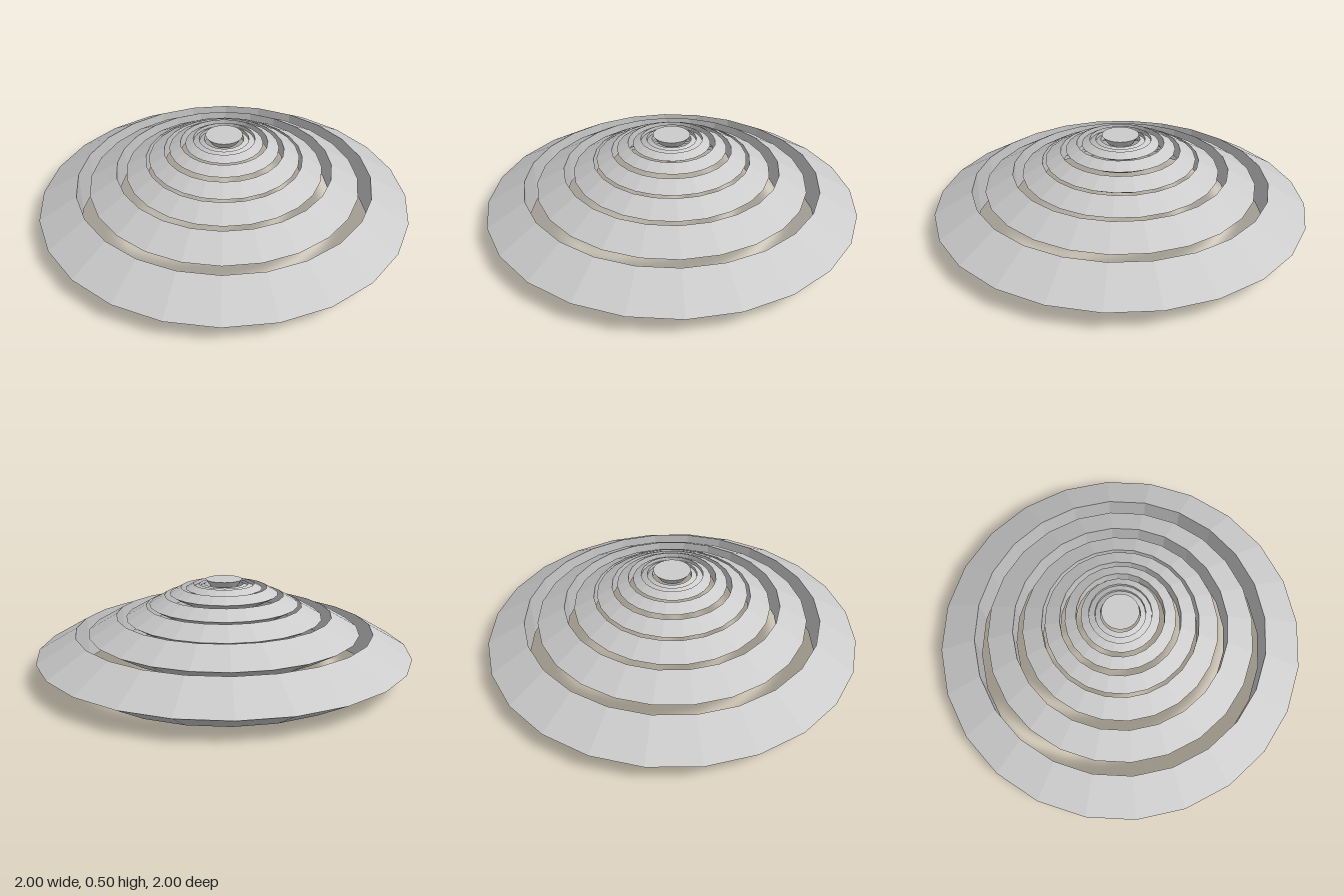
import * as THREE from 'three';

const material = new THREE.MeshStandardMaterial({ color: 0xcccccc, flatShading: true });

// Each ring: outer radius and height of its sharp outer rim
const RINGS = [
  [1, 0.119], [0.725, 0.23], [0.525, 0.303], [0.4, 0.37],
  [0.29, 0.425], [0.205, 0.452], [0.165, 0.456], [0.13, 0.46],
];

// Ring with a triangular section, point outwards, a fifth of its radius wide
function makeRing(outer, y) {
  const tube = outer * 0.137;
  const geometry = new THREE.TorusGeometry(outer - tube, tube, 3, 24);
  geometry.rotateX(-Math.PI / 2);
  const ring = new THREE.Mesh(geometry, material);
  ring.position.y = y;
  return ring;
}

export function createModel() {
  const model = new THREE.Group();
  model.name = 'steppedRingDome';

  RINGS.forEach(([outer, y], i) => {
    const ring = makeRing(outer, y);
    ring.name = `ring${i + 1}`;
    model.add(ring);
  });

  // Flared cap on top
  const cap = new THREE.Mesh(new THREE.CylinderGeometry(0.098, 0.07, 0.04, 24), material);
  cap.name = 'cap';
  cap.position.y = 0.48;
  model.add(cap);

  return model;
}
